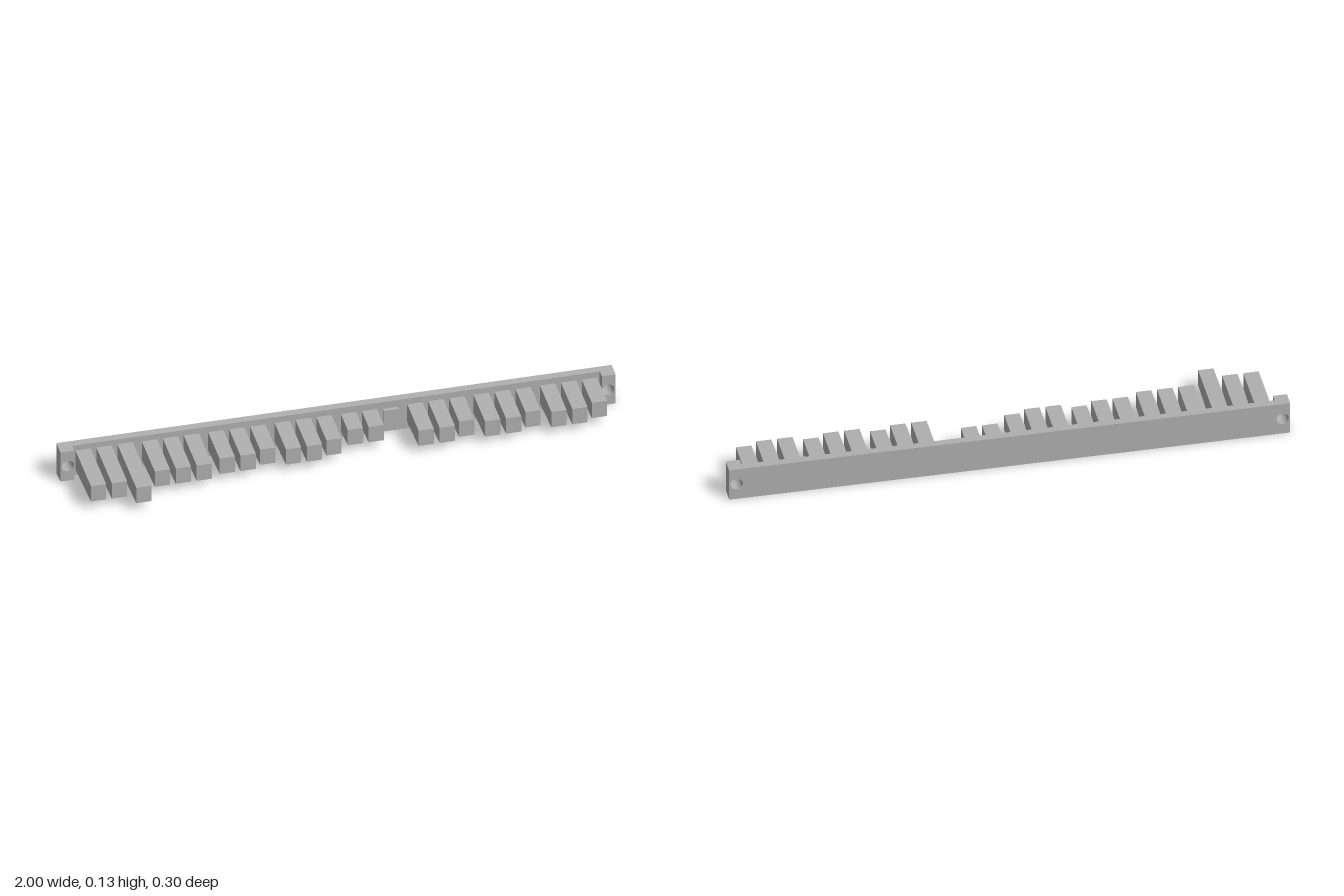
import * as THREE from 'three';

const MID = 0.063;      // centre height of the bar
const BACK = -0.149;    // back face of the bar
const PLATE = -0.12;    // front of the thin plate
const DRAFT = 0.035;    // slope of the top and bottom faces

export function createModel() {
  const model = new THREE.Group();
  const grey = new THREE.MeshStandardMaterial({ color: 0xb0b0b0 });
  grey.name = 'grey';

  const add = (name, geometry) => {
    const mesh = new THREE.Mesh(geometry, grey);
    mesh.name = name;
    model.add(mesh);
  };

  // Box whose top and bottom slope outwards towards the back; half is the half height at zFront
  const draftedBox = (x, width, zBack, zFront, half, mid) => {
    const g = new THREE.BoxGeometry(width, 2, zFront - zBack);
    g.translate(x, 0, (zFront + zBack) / 2);
    const p = g.attributes.position;
    for (let i = 0; i < p.count; i++) {
      p.setY(i, mid + p.getY(i) * (half + (zFront - p.getZ(i)) * DRAFT));
    }
    g.computeVertexNormals();
    return g;
  };

  // Thin back plate between the two end blocks
  const halfBack = 0.063;
  add('backPlate', draftedBox(0, 1.9, BACK, PLATE, halfBack - (PLATE - BACK) * DRAFT, MID));

  // End blocks with a round screw hole
  for (const side of [-1, 1]) {
    const w = 0.025, h = halfBack;
    const shape = new THREE.Shape();
    shape.moveTo(-w, -h);
    shape.lineTo(w, -h);
    shape.lineTo(w, h);
    shape.lineTo(-w, h);
    shape.closePath();
    const hole = new THREE.Path();
    hole.absarc(side * -0.002, 0, 0.022, 0, Math.PI * 2, true);
    shape.holes.push(hole);
    const g = new THREE.ExtrudeGeometry(shape, { depth: 0.058, bevelEnabled: false, curveSegments: 16 });
    const p = g.attributes.position;
    for (let i = 0; i < p.count; i++) {
      const y = p.getY(i);
      if (Math.abs(y) > 0.05) p.setY(i, y - Math.sign(y) * p.getZ(i) * DRAFT);
    }
    g.translate(side * 0.975, MID, BACK);
    g.computeVertexNormals();
    add(side > 0 ? 'leftEndBlock' : 'rightEndBlock', g);
  }

  // Teeth in groups of three: front position of each
  const usual = [-0.0 + 0.043, 0.043, 0.022];
  const groups = [
    [0.1, 0.1, 0.149], [0.065, 0.065, 0.065], usual, usual,
    [-0.022, -0.022, -0.107], usual, usual, usual,
  ];
  groups.forEach((tips, g) => tips.forEach((tip, t) => {
    const x = -0.911 + g * 0.239 + t * 0.0755;
    add('tooth', draftedBox(x, 0.055, PLATE - 0.005, tip, 0.032, 0.064));
  }));

  return model;
}
